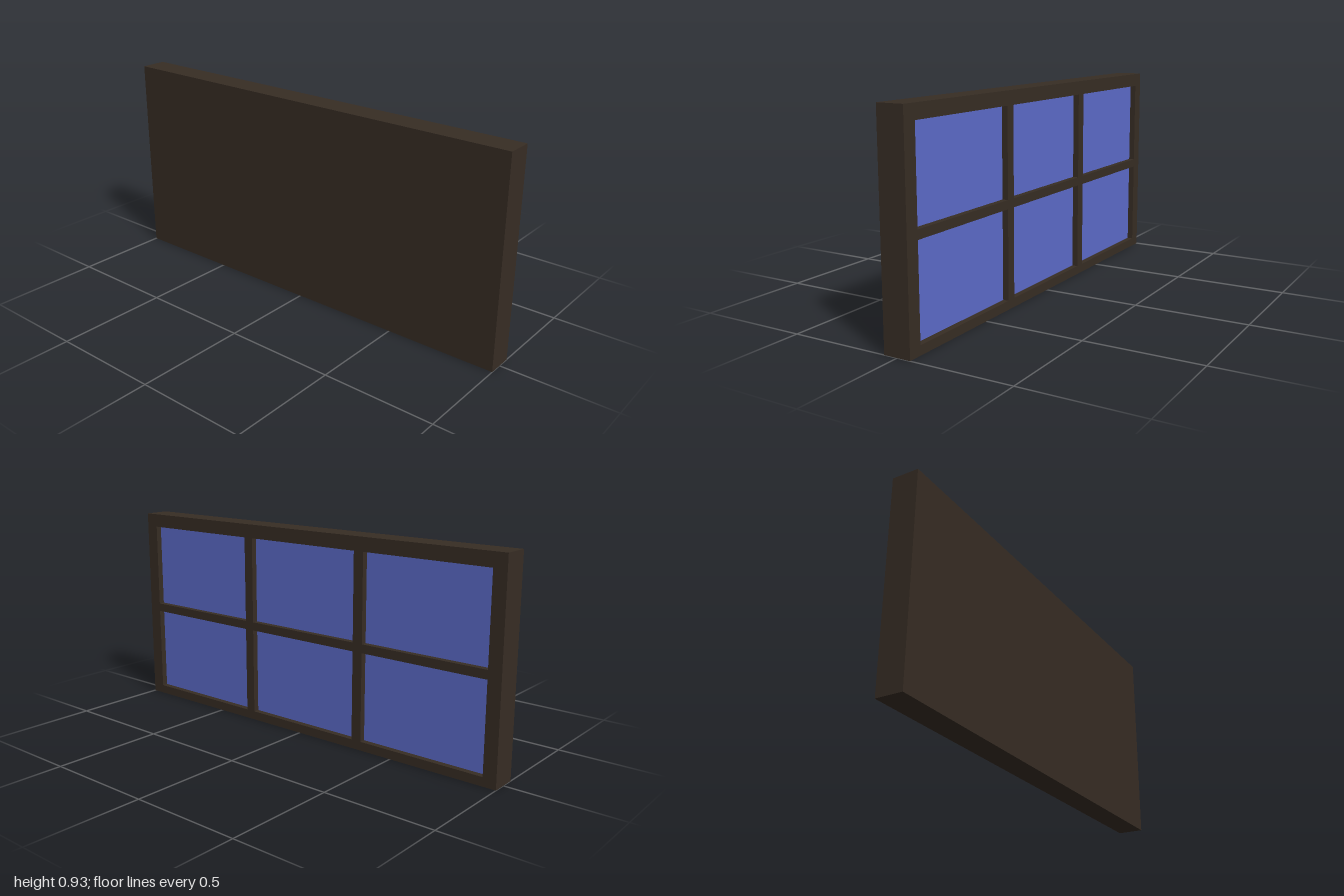
import * as THREE from 'three';

const HALF_DEPTH = 0.06, HEIGHT = 0.93, GLASS_X = 0.033;
// Opening limits along z and y
const COLUMNS = [[-0.94, -0.345], [-0.297, 0.283], [0.329, 0.937]];
const ROWS = [[0.04, 0.437], [0.476, 0.868]];

function rectangle(path, x0, x1, y0, y1) {
  path.moveTo(x0, y0);
  path.lineTo(x1, y0);
  path.lineTo(x1, y1);
  path.lineTo(x0, y1);
  path.closePath();
  return path;
}

export function createModel() {
  const wood = new THREE.MeshStandardMaterial({ name: 'darkWood', color: 0x372d24 });
  const glass = new THREE.MeshStandardMaterial({ name: 'blueGlass', color: 0x5d6ccb });
  const group = new THREE.Group();
  group.name = 'windowPanel';

  // Solid backing behind the panes
  const backDepth = GLASS_X - 0.004 + HALF_DEPTH;
  const backing = new THREE.Mesh(new THREE.BoxGeometry(backDepth, HEIGHT, 2), wood);
  backing.name = 'backing';
  backing.position.set(-HALF_DEPTH + backDepth / 2, HEIGHT / 2, 0);
  group.add(backing);

  // Frame and glazing bars with six openings, facing +x
  const outline = rectangle(new THREE.Shape(), -1, 1, 0, HEIGHT);
  for (const [z0, z1] of COLUMNS) {
    for (const [y0, y1] of ROWS) {
      outline.holes.push(rectangle(new THREE.Path(), -z1, -z0, y0, y1));

      // Pane recessed in its opening
      const pane = new THREE.Mesh(new THREE.BoxGeometry(0.004, y1 - y0, z1 - z0), glass);
      pane.name = 'pane';
      pane.position.set(GLASS_X - 0.002, (y0 + y1) / 2, (z0 + z1) / 2);
      group.add(pane);
    }
  }
  const frameGeometry = new THREE.ExtrudeGeometry(outline, {
    depth: HALF_DEPTH - (GLASS_X - 0.004), bevelEnabled: false,
  });
  frameGeometry.rotateY(Math.PI / 2);
  const frame = new THREE.Mesh(frameGeometry, wood);
  frame.name = 'frame';
  frame.position.x = GLASS_X - 0.004;
  group.add(frame);

  return group;
}
